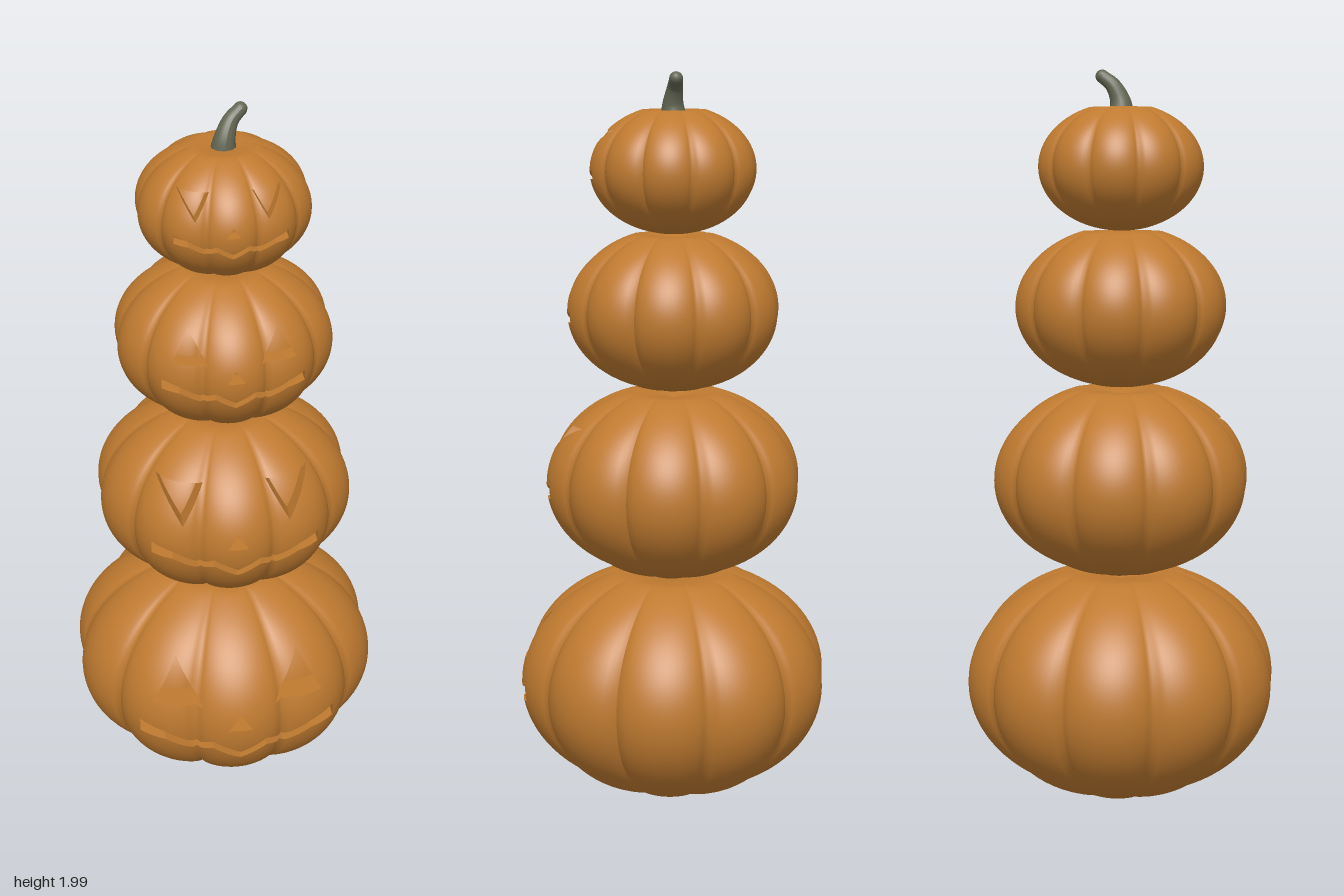
import * as THREE from 'three';

const pumpkinMat = new THREE.MeshStandardMaterial({ color: 0xbf7a30 });
pumpkinMat.name = 'pumpkin orange';
const stemMat = new THREE.MeshStandardMaterial({ color: 0x636653 });
stemMat.name = 'stem grey green';

const RIBS = 10, CARVE_DEPTH = 0.07;

// Convex cut-outs, counter-clockwise in x,y; walled[i] tells if edge i gets a side wall
const cut = (pts, walled = pts.map(() => true)) => ({ pts, walled });

function faceCuts(upright) {
  const cuts = [];
  // eyes
  for (const s of [-1, 1]) {
    const eye = upright
      ? [[s * 0.235, 0.077], [s * 0.1, 0.073], [s * 0.167, 0.195]]
      : [[s * 0.173, 0.08], [s * 0.1, 0.2], [s * 0.245, 0.2]];
    const [a, b, c] = eye;
    const area = (b[0] - a[0]) * (c[1] - a[1]) - (b[1] - a[1]) * (c[0] - a[0]);
    cuts.push(cut(area < 0 ? eye.reverse() : eye));
  }
  // nose
  cuts.push(cut([[-0.034, 0.017], [0.034, 0.017], [0, 0.068]]));
  // zigzag mouth: x, upper y, lower y on one side, mirrored to the other
  const half = [[0, -0.068, -0.097], [0.075, -0.03, -0.058], [0.125, -0.056, -0.086],
    [0.205, -0.014, -0.044], [0.272, 0.005, -0.04]];
  const mouth = [...half.slice(1).reverse().map(([x, u, l]) => [-x, u, l]), ...half];
  for (let i = 0; i < mouth.length - 1; i++) {
    const [x0, u0, l0] = mouth[i], [x1, u1, l1] = mouth[i + 1];
    cuts.push(cut([[x0, l0], [x1, l1], [x1, u1], [x0, u0]],
      [true, i === mouth.length - 2, true, i === 0]));
  }
  return cuts;
}

const side = (a, b, v) => (b[0] - a[0]) * (v.p.y - a[1]) - (b[1] - a[1]) * (v.p.x - a[0]);

// Split a polygon by the line a-b into its inner (left) and outer part
function split(poly, a, b) {
  const inner = [], outer = [];
  poly.forEach((v, i) => {
    const w = poly[(i + 1) % poly.length];
    const sv = side(a, b, v), sw = side(a, b, w);
    if (sv >= 0) inner.push(v);
    if (sv <= 0) outer.push(v);
    if (sv * sw < 0) {
      const t = sv / (sv - sw);
      const m = { p: v.p.clone().lerp(w.p, t), n: v.n.clone().lerp(w.n, t).normalize() };
      inner.push(m);
      outer.push(m);
    }
  });
  return [inner, outer];
}

// Ribbed skin with the face sunk into its front
function pumpkinGeometry(cuts) {
  const profile = [];
  for (let i = 0; i <= 42; i++) {
    const a = -Math.PI / 2 + (i / 42) * (Math.PI / 2 + 1.176);
    profile.push(new THREE.Vector2(i ? 0.43 * Math.cos(a) : 0, 0.325 * Math.sin(a)));
  }
  const rim = profile[42].x;
  for (let i = 1; i <= 5; i++) {
    const s = i / 5;
    profile.push(new THREE.Vector2(rim * (1 - s), 0.3 - 0.02 * s * s));
  }
  const skin = new THREE.LatheGeometry(profile, 160, Math.PI / 2);
  const pos = skin.attributes.position;
  for (let i = 0; i < pos.count; i++) {
    const x = pos.getX(i), z = pos.getZ(i);
    const groove = 1 - Math.pow(Math.abs(Math.cos(Math.atan2(x, z) * RIBS / 2)), 0.6);
    const k = 1 - 0.085 * groove;
    pos.setX(i, x * k);
    pos.setZ(i, z * k);
  }
  skin.computeVertexNormals();

  const P = [], N = [];
  const emit = (poly) => {
    for (let i = 1; i < poly.length - 1; i++) {
      for (const v of [poly[0], poly[i], poly[i + 1]]) {
        P.push(v.p.x, v.p.y, v.p.z);
        N.push(v.n.x, v.n.y, v.n.z);
      }
    }
  };
  const sink = (v) => ({ p: v.p.clone().setZ(v.p.z - CARVE_DEPTH), n: v.n });

  // floor of a cut, and walls along its outline
  const carve = (inner, { pts, walled }) => {
    emit(inner.map(sink));
    inner.forEach((v, i) => {
      const w = inner[(i + 1) % inner.length];
      pts.forEach((a, e) => {
        const b = pts[(e + 1) % pts.length];
        if (!walled[e] || Math.abs(side(a, b, v)) > 1e-9 || Math.abs(side(a, b, w)) > 1e-9) return;
        const n = new THREE.Vector3(a[1] - b[1], b[0] - a[0], 0).normalize();
        emit([v, w, sink(w), sink(v)].map((q) => ({ p: q.p, n })));
      });
    });
  };

  const index = skin.index;
  for (let i = 0; i < index.count; i += 3) {
    const tri = [0, 1, 2].map((k) => {
      const j = index.getX(i + k);
      return {
        p: new THREE.Vector3().fromBufferAttribute(pos, j),
        n: new THREE.Vector3().fromBufferAttribute(skin.attributes.normal, j),
      };
    });
    let pieces = [tri];
    const front = tri.every((v) => v.p.z > 0.1 && v.p.y > -0.15 && v.p.y < 0.25);
    for (const c of front ? cuts : []) {
      const next = [];
      for (const piece of pieces) {
        let inner = piece;
        const outs = [];
        for (let e = 0; e < c.pts.length && inner.length > 2; e++) {
          const [a, b] = split(inner, c.pts[e], c.pts[(e + 1) % c.pts.length]);
          inner = a;
          if (b.length > 2) outs.push(b);
        }
        if (inner.length > 2) {
          next.push(...outs);
          carve(inner, c);
        } else next.push(piece);
      }
      pieces = next;
    }
    pieces.forEach(emit);
  }
  const g = new THREE.BufferGeometry();
  g.setAttribute('position', new THREE.Float32BufferAttribute(P, 3));
  g.setAttribute('normal', new THREE.Float32BufferAttribute(N, 3));
  return g;
}

// Bent stem, thinner toward its tip
function createStem() {
  const stem = new THREE.Group();
  stem.name = 'stem';
  const curve = new THREE.CatmullRomCurve3([[0, 1.875, 0], [0.004, 1.915, 0],
    [0.02, 1.957, -0.012], [0.046, 1.981, -0.026]].map((p) => new THREE.Vector3(...p)));
  const n = 20, sides = 16, tip = 0.018;
  const g = new THREE.TubeGeometry(curve, n, 1, sides);
  const pos = g.attributes.position, v = new THREE.Vector3();
  for (let i = 0; i < pos.count; i++) {
    const t = Math.floor(i / (sides + 1)) / n;
    const c = curve.getPointAt(t);
    v.fromBufferAttribute(pos, i).sub(c).multiplyScalar(tip + 0.018 * (1 - t) ** 1.5).add(c);
    pos.setXYZ(i, v.x, v.y, v.z);
  }
  g.computeVertexNormals();
  const stalk = new THREE.Mesh(g, stemMat);
  stalk.name = 'stalk';
  const end = new THREE.Mesh(new THREE.SphereGeometry(tip, 16, 12), stemMat);
  end.name = 'stalkTip';
  end.position.copy(curve.getPoint(1));
  stem.add(stalk, end);
  return stem;
}

export function createModel() {
  const model = new THREE.Group();
  model.name = 'pumpkinStack';
  const shapes = [pumpkinGeometry(faceCuts(true)), pumpkinGeometry(faceCuts(false))];
  // centre height and scale, from bottom to top
  [[0.33, 1], [0.895, 0.82], [1.367, 0.675], [1.742, 0.525]].forEach(([y, s], i) => {
    const m = new THREE.Mesh(shapes[i % 2], pumpkinMat);
    m.name = `pumpkin${i + 1}`;
    m.position.y = y;
    m.scale.setScalar(s);
    model.add(m);
  });
  model.add(createStem());
  return model;
}
